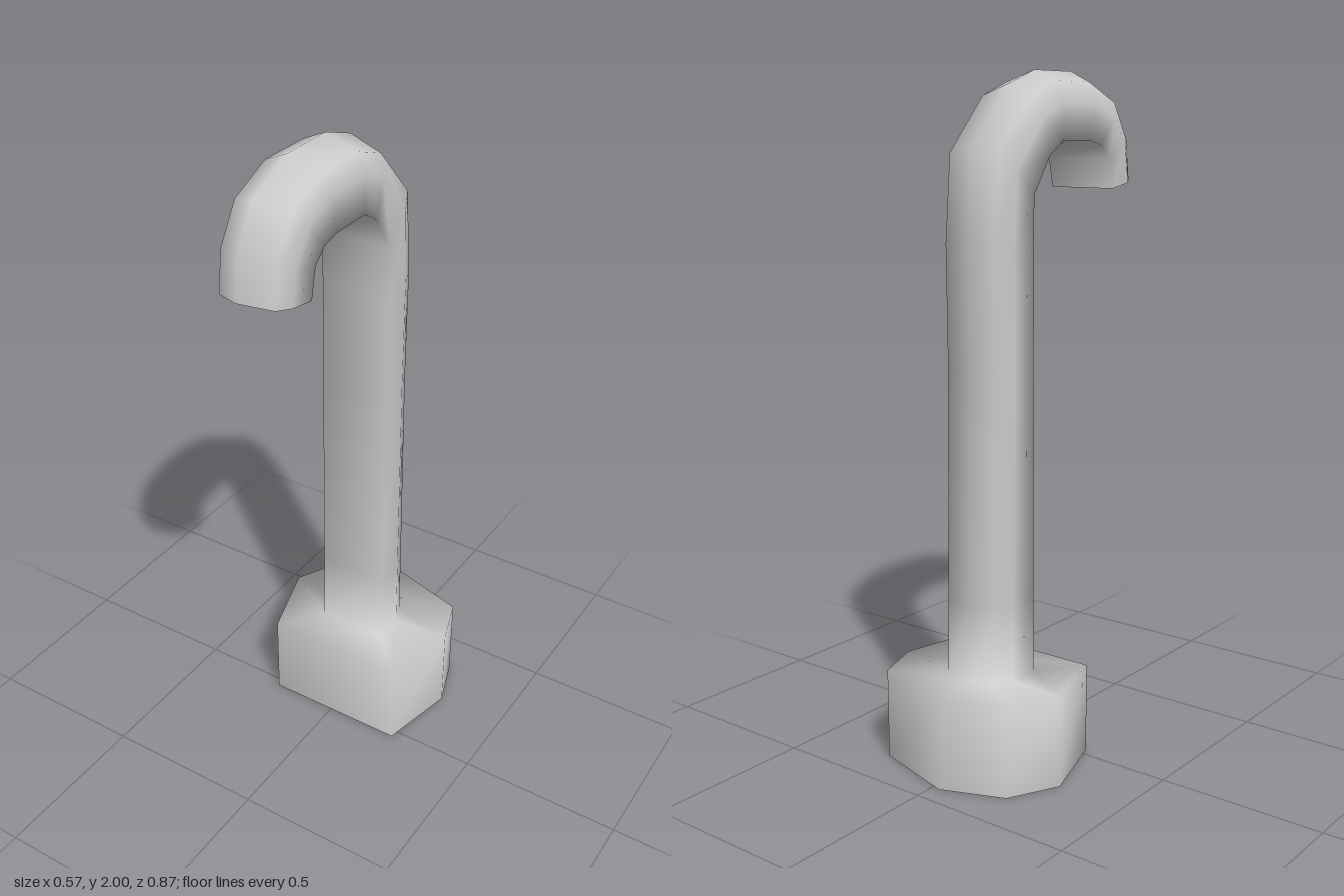
import * as THREE from 'three';

// Seven-sided section: [x, share of the way from the flat inner side to the outer apex]
const pipeSection = [[-0.11, 0], [0.11, 0], [0.11, 0.53], [0.09, 0.84], [-0.01, 1], [-0.08, 0.84], [-0.11, 0.53]];
const baseSection = [[-0.21, 0], [0.235, 0], [0.287, 0.52], [0.235, 0.84], [-0.025, 1], [-0.21, 0.84], [-0.287, 0.52]];

// Ring of points between an inner and an outer (z, y) position
const ring = (section, [zi, yi, zo, yo]) =>
  section.map(([x, t]) => [x, yi + (yo - yi) * t, zi + (zo - zi) * t]);

// Smooth open skin over successive rings
function loft(rings) {
  const n = rings[0].length;
  const index = [];
  for (let i = 0; i < rings.length - 1; i++) {
    for (let j = 0; j < n; j++) {
      const a = i * n + j, b = i * n + (j + 1) % n;
      index.push(a, b, b + n, a, b + n, a + n);
    }
  }
  const geometry = new THREE.BufferGeometry();
  geometry.setAttribute('position', new THREE.Float32BufferAttribute(rings.flat(2), 3));
  geometry.setIndex(index);
  geometry.computeVertexNormals();
  return geometry;
}

export function createModel() {
  const group = new THREE.Group();
  group.name = 'hookedPipe';

  // Wide foot, open underneath
  const foot = [
    [0.027, 0, -0.437, 0],
    [0.027, 0.272, -0.437, 0.272],
  ].map((p) => ring(baseSection, p));

  // Upright stem curling forward into an open spout: inner z, y and outer z, y
  const stem = [
    [-0.105, 0.272, -0.283, 0.272],
    [-0.105, 0.5, -0.28, 0.5],
    [-0.105, 1.18, -0.267, 1.18],
    [-0.105, 1.5, -0.272, 1.53],
    [-0.103, 1.66, -0.247, 1.795],
    [-0.03, 1.765, -0.088, 1.96],
    [0.03, 1.803, 0.03, 2],
    [0.165, 1.803, 0.205, 2],
    [0.22, 1.79, 0.352, 1.935],
    [0.262, 1.75, 0.422, 1.815],
    [0.28, 1.663, 0.437, 1.69],
  ].map((p) => ring(pipeSection, p));

  const material = new THREE.MeshStandardMaterial({ color: 0xcccccc, side: THREE.DoubleSide });
  const pipe = new THREE.Mesh(loft([...foot, ...stem]), material);
  pipe.name = 'footAndCurvedPipe';
  group.add(pipe);
  return group;
}
